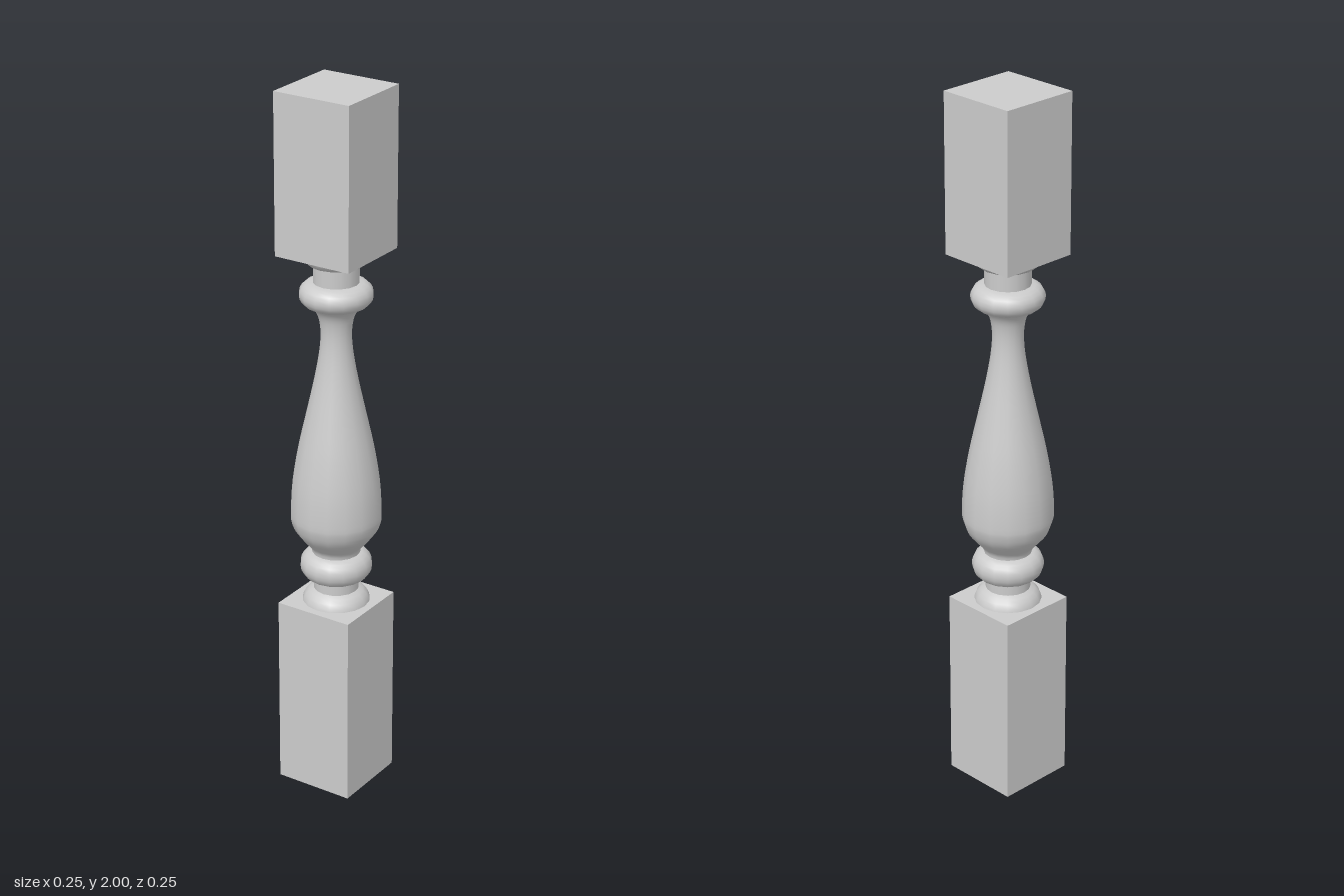
import * as THREE from 'three';

const SIDES = 16;
const material = new THREE.MeshStandardMaterial({ color: 0xcccccc });

export function createModel() {
  const model = new THREE.Group();
  model.name = 'baluster';

  const add = (name, geometry, y = 0) => {
    const mesh = new THREE.Mesh(geometry, material);
    mesh.name = name;
    mesh.position.y = y;
    model.add(mesh);
  };

  // Square end blocks
  const block = (name, bottom, top) =>
    add(name, new THREE.BoxGeometry(0.228, top - bottom, 0.228), (bottom + top) / 2);
  block('lowerBlock', 0, 0.55);
  block('upperBlock', 1.56, 2);

  // Turned sections, profiles as [radius, height] from bottom to top;
  // separate lathes keep the edges between them sharp
  const turn = (name, profile) =>
    add(name, new THREE.LatheGeometry(profile.map(([r, y]) => new THREE.Vector2(r, y)), SIDES));

  // Rounded ring with a half-oval section
  const ring = (name, y, halfHeight, inner, outer) => {
    const profile = [];
    for (let i = 0; i <= 10; i++) {
      const a = (i / 10 - 0.5) * Math.PI;
      profile.push([inner + (outer - inner) * Math.cos(a), y + halfHeight * Math.sin(a)]);
    }
    turn(name, profile);
  };

  // Lower foot, neck and ring
  turn('lowerFoot', [[0.093, 0.55], [0.091, 0.558], [0.085, 0.57], [0.075, 0.58], [0.062, 0.587]]);
  turn('lowerNeck', [[0.062, 0.587], [0.062, 0.62]]);
  ring('lowerRing', 0.658, 0.04, 0.062, 0.099);

  // Vase-shaped body, smoothed through a few points
  const body = new THREE.SplineCurve([
    [0.066, 0.695], [0.07, 0.712], [0.09, 0.735], [0.111, 0.762], [0.122, 0.79],
    [0.125, 0.82], [0.12, 0.9], [0.104, 1.0], [0.082, 1.1], [0.06, 1.2],
    [0.046, 1.28], [0.042, 1.335], [0.046, 1.375], [0.055, 1.398], [0.068, 1.414],
  ].map(([r, y]) => new THREE.Vector2(r, y)));
  add('vaseBody', new THREE.LatheGeometry(body.getPoints(42), SIDES));

  // Upper ring, neck and collar
  ring('upperRing', 1.446, 0.034, 0.062, 0.099);
  turn('upperNeck', [[0.062, 1.478], [0.062, 1.527]]);
  turn('upperCollar', [[0.062, 1.527], [0.075, 1.532], [0.085, 1.541], [0.091, 1.552], [0.093, 1.56]]);

  return model;
}
